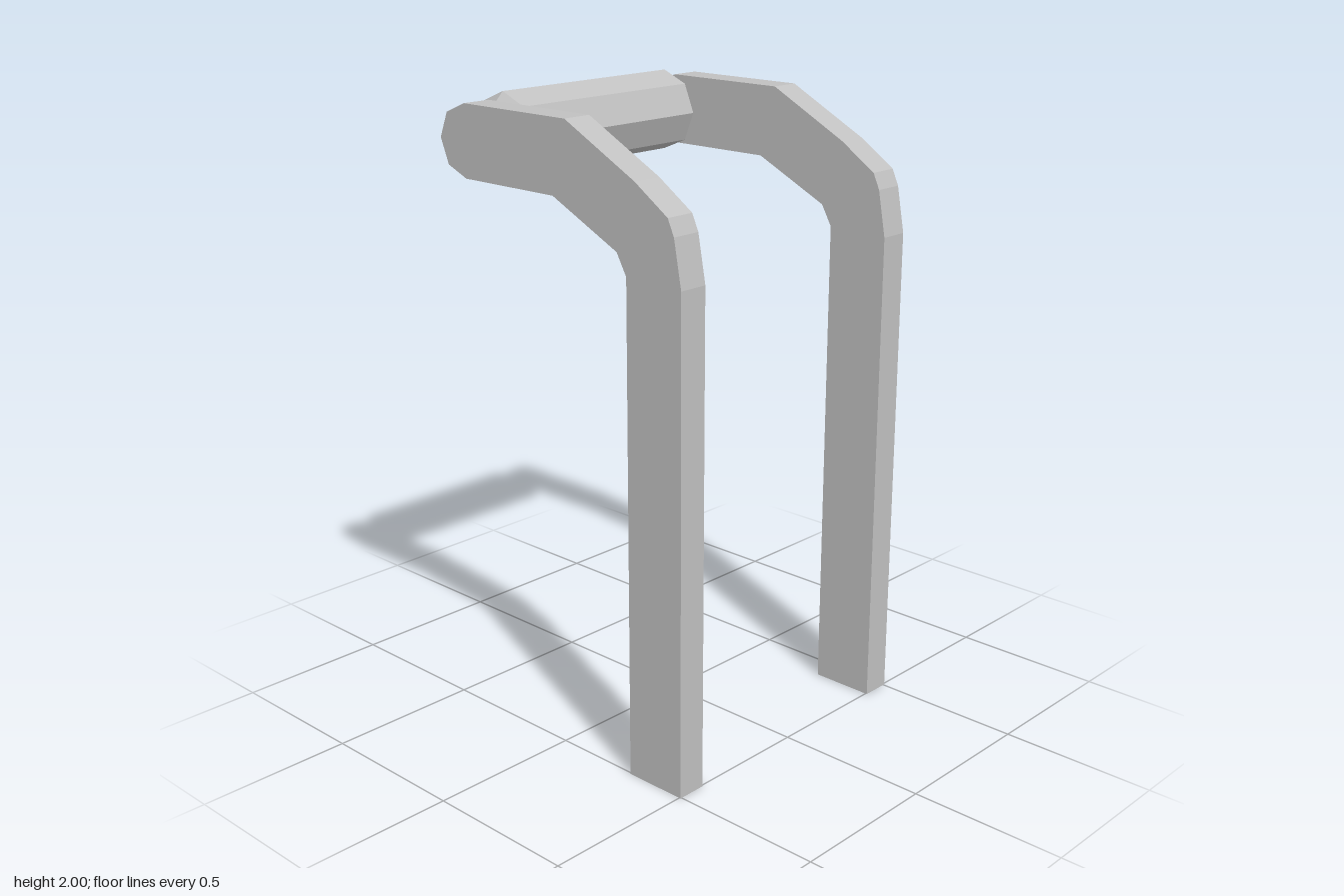
import * as THREE from 'three';

export function createModel() {
  const model = new THREE.Group();
  model.name = 'handleFrame';
  const grey = new THREE.MeshStandardMaterial({ color: 0xc0c0c0, flatShading: true });
  grey.name = 'plain grey';

  // Bent side bar outline: straight leg, angled shoulder, arm with octagonal tip
  const thickness = 0.097;
  const tip = { x: -0.38, y: 1.867, r: 0.113 };
  const outline = [
    [0.295, 0], [0.505, 0], [0.505, 1.56], [0.478, 1.705], [0.455, 1.755],
    [0.33, 1.838], [0.055, 1.98],
  ];
  for (let i = 0; i <= 4; i++) {
    const a = Math.PI / 2 + (i * Math.PI) / 4;
    outline.push([tip.x + tip.r * Math.cos(a), tip.y + tip.r * Math.sin(a)]);
  }
  outline.push([0, 1.754], [0.258, 1.63], [0.295, 1.565]);
  const shape = new THREE.Shape(outline.map(([x, y]) => new THREE.Vector2(x, y)));
  const barGeometry = new THREE.ExtrudeGeometry(shape, { depth: thickness, bevelEnabled: false });
  barGeometry.translate(0, 0, -thickness / 2);

  for (const [name, side] of [['frontBar', 1], ['backBar', -1]]) {
    const bar = new THREE.Mesh(barGeometry, grey);
    bar.name = name;
    bar.position.z = side * 0.4565;
    model.add(bar);
  }

  // Eight-sided grip with tapered ends, spanning the two bars
  const profile = [[0, -0.41], [0.073, -0.41], [0.13, -0.354], [0.13, 0.354], [0.073, 0.41], [0, 0.41]];
  const grip = new THREE.Mesh(
    new THREE.LatheGeometry(profile.map(([r, y]) => new THREE.Vector2(r, y)), 8), grey);
  grip.name = 'grip';
  grip.rotation.x = Math.PI / 2;
  grip.position.set(-0.376, 1.871, 0);
  model.add(grip);

  return model;
}
